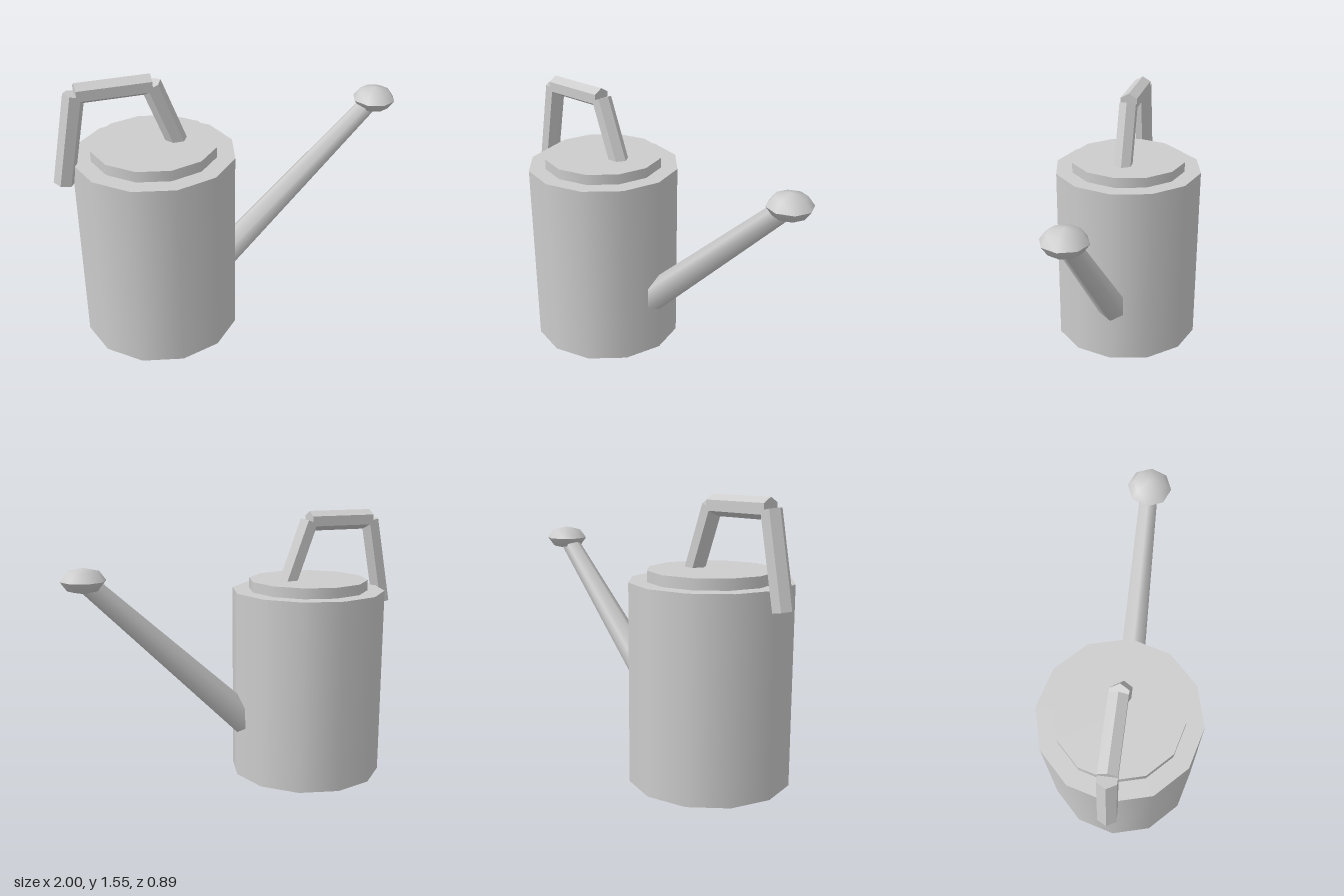
import * as THREE from 'three';
import { toCreasedNormals } from 'three/addons/utils/BufferGeometryUtils.js';

const metal = new THREE.MeshStandardMaterial({ color: 0xcccccc });
metal.name = 'grey metal';

export function createModel() {
  const model = new THREE.Group();
  model.name = 'wateringCan';

  const add = (name, geometry, x, y, parent = model) => {
    const mesh = new THREE.Mesh(geometry, metal);
    mesh.name = name;
    mesh.position.set(x, y, 0);
    parent.add(mesh);
    return mesh;
  };

  // Six-sided bar between two points of the xy plane, flat sides facing +z and -z
  const addBar = (name, [x0, y0], [x1, y1], r0, r1, sharp, parent) => {
    const length = Math.hypot(x1 - x0, y1 - y0);
    let geometry = new THREE.CylinderGeometry(r1, r0, length, 6, 1, false, Math.PI / 2);
    if (sharp) geometry = toCreasedNormals(geometry, 0.8);
    const bar = add(name, geometry, (x0 + x1) / 2, (y0 + y1) / 2, parent);
    bar.rotation.z = Math.atan2(y1 - y0, x1 - x0) - Math.PI / 2;
    return bar;
  };

  // Twelve-sided tank and lid
  add('body', new THREE.CylinderGeometry(0.447, 0.447, 1.1, 12), -0.447, 0.55);
  add('lid', new THREE.CylinderGeometry(0.348, 0.348, 0.08, 12), -0.447, 1.12);

  // Tapered spout with a flattened sprinkler head
  addBar('spout', [-0.1, 0.294], [0.85, 1.203], 0.0895, 0.055, false);
  const rose = new THREE.SphereGeometry(0.123, 8, 4).scale(1, 0.57, 1);
  add('sprinklerHead', toCreasedNormals(rose, 0.9), 0.875, 1.225);

  // Handle of three straight bars
  const handle = new THREE.Group();
  handle.name = 'handle';
  model.add(handle);
  const r = 0.057;
  addBar('handleRearLeg', [-0.945, 1.0], [-0.85, 1.495], r, r, true, handle);
  addBar('handleGrip', [-0.845, 1.497], [-0.449, 1.497], r, r, true, handle);
  addBar('handleFrontLeg', [-0.3, 1.1], [-0.448, 1.495], r, r, true, handle);

  return model;
}
